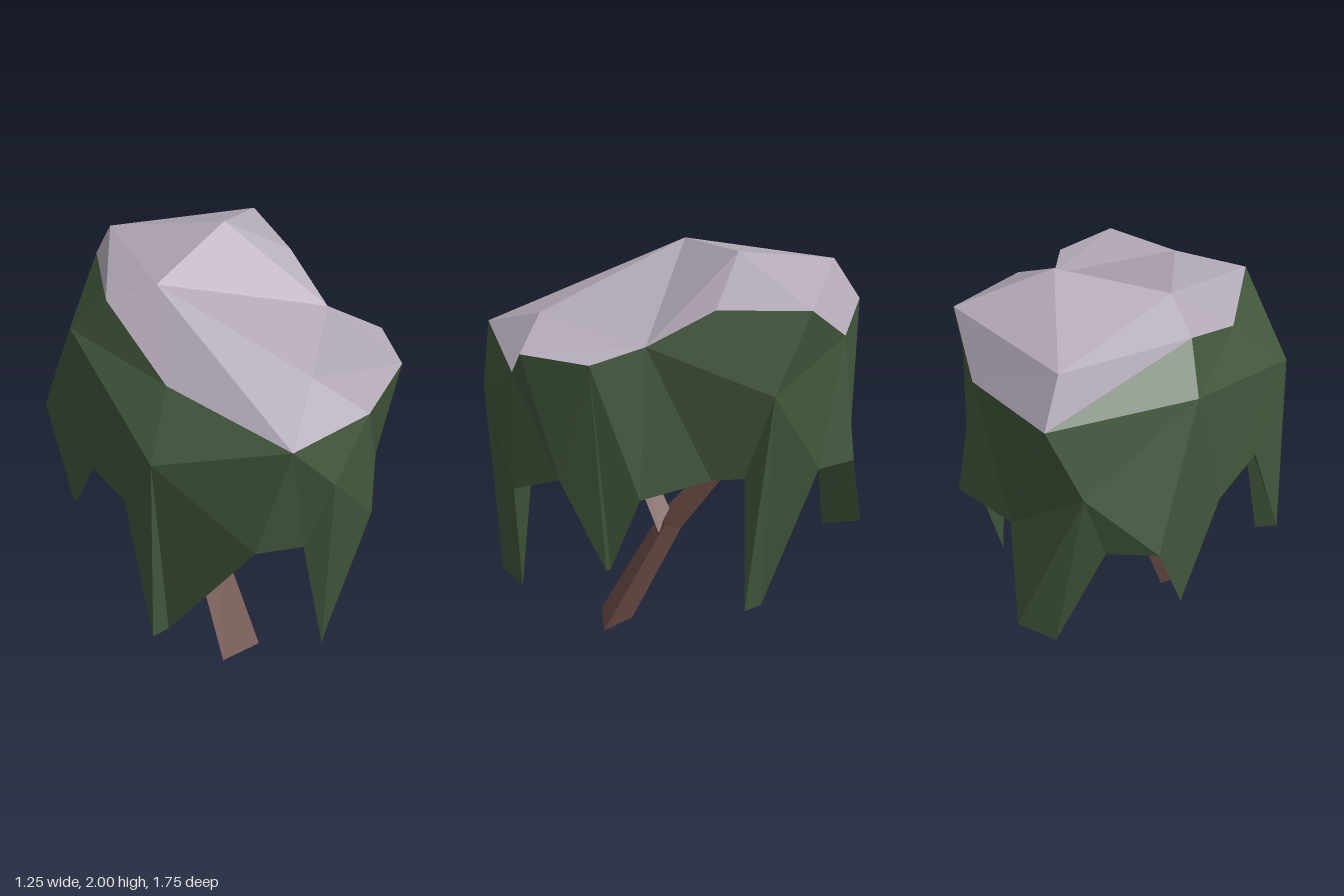
import * as THREE from 'three';

const barkMat = new THREE.MeshStandardMaterial({ color: 0x6c4d47, flatShading: true });
const leafMat = new THREE.MeshStandardMaterial({ color: 0x41563b, flatShading: true });
const snowMat = new THREE.MeshStandardMaterial({ color: 0xb5abb9, flatShading: true });
barkMat.name = 'bark';
leafMat.name = 'dark leaves';
snowMat.name = 'pale crown';

// Named corner points: R = crown rim, M = bulges, L = lower hem
const P = {
  R0: [-0.2, 1.58, 0.845], R1: [0.27, 1.52, 0.74], R2: [0.46, 1.68, 0.7], R3: [0.575, 1.665, 0.42],
  R4: [0.46, 1.69, 0.18], R5: [0.46, 1.84, -0.11], R6: [0.53, 1.85, -0.5], R7: [0.32, 1.65, -0.69],
  R8: [-0.13, 1.65, -0.85], R9: [-0.44, 1.83, -0.2], R10: [-0.42, 1.64, 0.25],
  Back: [-0.12, 1.85, -0.72], Peak: [0.19, 2, -0.24], Mid: [-0.27, 1.92, -0.06], Front: [0.06, 1.71, 0.61],
  Mf: [0, 1.35, 0.875], Mx: [0.62, 1.51, -0.34], Mb: [-0.28, 1.34, -0.81],
  Mr: [-0.55, 1.65, -0.34], Ml: [-0.61, 1.42, 0.43],
  L0: [-0.32, 1.05, 0.77], L1: [-0.09, 1, 0.8], L2: [0.31, 0.98, 0.76], L3: [0.48, 1.1, 0.56],
  L4: [0.57, 1.03, 0.22], L5: [0.53, 1.09, -0.09], L6: [0.55, 1.1, -0.23], L7: [0.47, 1.09, -0.57],
  L8: [0.4, 1.09, -0.74], L9: [0.1, 1.06, -0.79], L10: [-0.34, 1.03, -0.74], L11: [-0.55, 1.05, -0.66],
  L12: [-0.58, 1.01, -0.15], L13: [-0.6, 1.05, 0.17], Under: [0, 1.12, 0],
};

// Hanging tufts: hem corners a, b, bulge above, inner root, two outer tips, inner tip
const tufts = [
  { a: 'L1', b: 'L2', top: 'Mf', root: [0.16, 0.97, 0.68], tips: [[0.01, 0.4, 0.84], [0.1, 0.35, 0.75]] },
  { a: 'L3', b: 'L4', top: 'R3', root: [0.42, 1.05, 0.38], tips: [[0.52, 0.66, 0.37], [0.51, 0.66, 0.35]] },
  { a: 'L6', b: 'L7', top: 'Mx', root: [0.42, 1.08, -0.34], tips: [[0.58, 0.45, -0.24], [0.48, 0.41, -0.33]] },
  { a: 'L9', b: 'L10', top: 'Mb', root: [-0.08, 1.04, -0.66], tips: [[0.03, 0.57, -0.88], [-0.14, 0.52, -0.84]], innerTip: [-0.05, 0.52, -0.71] },
  { a: 'L11', b: 'L12', top: 'Mr', root: [-0.45, 1.04, -0.4], tips: [[-0.55, 0.61, -0.44], [-0.54, 0.61, -0.42]] },
  { a: 'L13', b: 'L0', top: 'Ml', root: [-0.42, 1.05, 0.4], tips: [[-0.63, 0.45, 0.43], [-0.53, 0.42, 0.4]] },
];

function mesh(name, triangles, material) {
  const g = new THREE.BufferGeometry();
  g.setAttribute('position', new THREE.Float32BufferAttribute(triangles.flat(2), 3));
  g.computeVertexNormals();
  const m = new THREE.Mesh(g, material);
  m.name = name;
  return m;
}

// Turns 'A-B-C D-E-F' into triangles of named points
const named = (text) => text.split(' ').map((t) => t.split('-').map((k) => P[k]));

// Three-sided tapering limb along points [x, y, z, halfWidth]
function limb(name, path, flatStart = false) {
  const pts = path.map((p) => new THREE.Vector3(p[0], p[1], p[2]));
  const rings = pts.map((p, i) => {
    const d = pts[Math.min(i + 1, pts.length - 1)].clone().sub(pts[Math.max(i - 1, 0)]).normalize();
    if (flatStart && i === 0) d.set(0, 1, 0);
    const u = new THREE.Vector3(1, 0, 0).addScaledVector(d, -d.x).normalize();
    const v = d.clone().cross(u);
    return [[1, -0.5], [0, 0.9], [-1, -0.5]].map(([s, t]) =>
      p.clone().addScaledVector(u, s * path[i][3]).addScaledVector(v, t * path[i][3]).toArray());
  });
  const tris = [];
  for (let i = 0; i < rings.length - 1; i++) {
    for (let j = 0; j < 3; j++) {
      const k = (j + 1) % 3;
      tris.push([rings[i][j], rings[i][k], rings[i + 1][k]], [rings[i][j], rings[i + 1][k], rings[i + 1][j]]);
    }
  }
  tris.push([...rings[0]].reverse(), rings[rings.length - 1]);
  return mesh(name, tris, barkMat);
}

export function createModel() {
  const tree = new THREE.Group();
  tree.name = 'tree';

  // Pale faceted crown
  tree.add(mesh('crownTop', named(
    'R0-R1-Front R1-R2-Front R2-R4-Front R2-R3-R4 R4-Mid-Front Mid-R0-Front ' +
    'R4-Peak-Mid R4-R5-Peak R5-R6-Peak R6-Back-Peak R6-R7-Back R7-R8-Back R8-R9-Back ' +
    'Back-R9-Mid Back-Mid-Peak R9-R10-Mid R10-R0-Mid'), snowMat));

  // Leafy sides between rim and hem
  tree.add(mesh('foliageSides', named(
    'Ml-L0-R0 L0-L1-R0 L1-Mf-R0 Mf-R1-R0 Mf-L2-R1 L2-L3-R1 L3-R2-R1 L3-R3-R2 L4-R4-R3 ' +
    'L4-L5-R4 L5-Mx-R4 L5-L6-Mx Mx-R5-R4 Mx-R6-R5 Mx-R7-R6 L7-R7-Mx L7-L8-R7 L8-L9-R7 ' +
    'L9-R8-R7 L9-Mb-R8 L10-L11-Mb L11-Mr-Mb Mb-Mr-R8 Mr-R9-R8 L12-L13-Ml L12-Ml-Mr Mr-Ml-R10 ' +
    'Mr-R10-R9 Ml-R0-R10'), leafMat));

  // Hanging tufts
  for (const { a, b, top, root, tips: [t1, t2], innerTip } of tufts) {
    const A = P[a], B = P[b], T = P[top];
    const tris = [[A, t1, T], [t1, t2, T], [t2, B, T]];
    if (innerTip) {
      tris.push([B, t2, innerTip], [B, innerTip, root], [innerTip, t1, A], [innerTip, A, root], [t1, innerTip, t2]);
    } else {
      tris.push([B, t2, root], [t2, t1, root], [t1, A, root]);
    }
    tree.add(mesh('hangingTuft', tris, leafMat));
  }

  // Underside fan, following the tuft roots
  const hem = [];
  for (let i = 0; i < 14; i++) {
    hem.push(P['L' + i]);
    const tuft = tufts.find((t) => t.a === 'L' + i);
    if (tuft) hem.push(tuft.root);
  }
  tree.add(mesh('foliageUnderside', hem.map((p, i) => [hem[(i + 1) % hem.length], p, P.Under]), leafMat));

  // Leaning trunk running on into the back limb, with its branches
  tree.add(
    limb('trunk', [[-0.105, 0, 0.315, 0.105], [-0.12, 0.53, 0.03, 0.075], [-0.13, 0.87, -0.26, 0.052], [-0.05, 0.99, -0.66, 0.045], [-0.04, 1.12, -0.7, 0.035]], true),
    limb('frontLimb', [[-0.12, 0.5, 0.05, 0.065], [-0.25, 0.79, 0.17, 0.055], [-0.28, 1.13, 0.22, 0.04]]),
    limb('frontBranch', [[-0.24, 0.76, 0.17, 0.045], [-0.34, 0.85, 0.41, 0.045], [-0.17, 0.95, 0.55, 0.04], [-0.14, 1.1, 0.58, 0.035]]),
    limb('sideBranch', [[-0.13, 0.92, -0.27, 0.04], [0.1, 0.95, -0.02, 0.045], [0.1, 1.13, -0.03, 0.04]]),
  );
  return tree;
}
